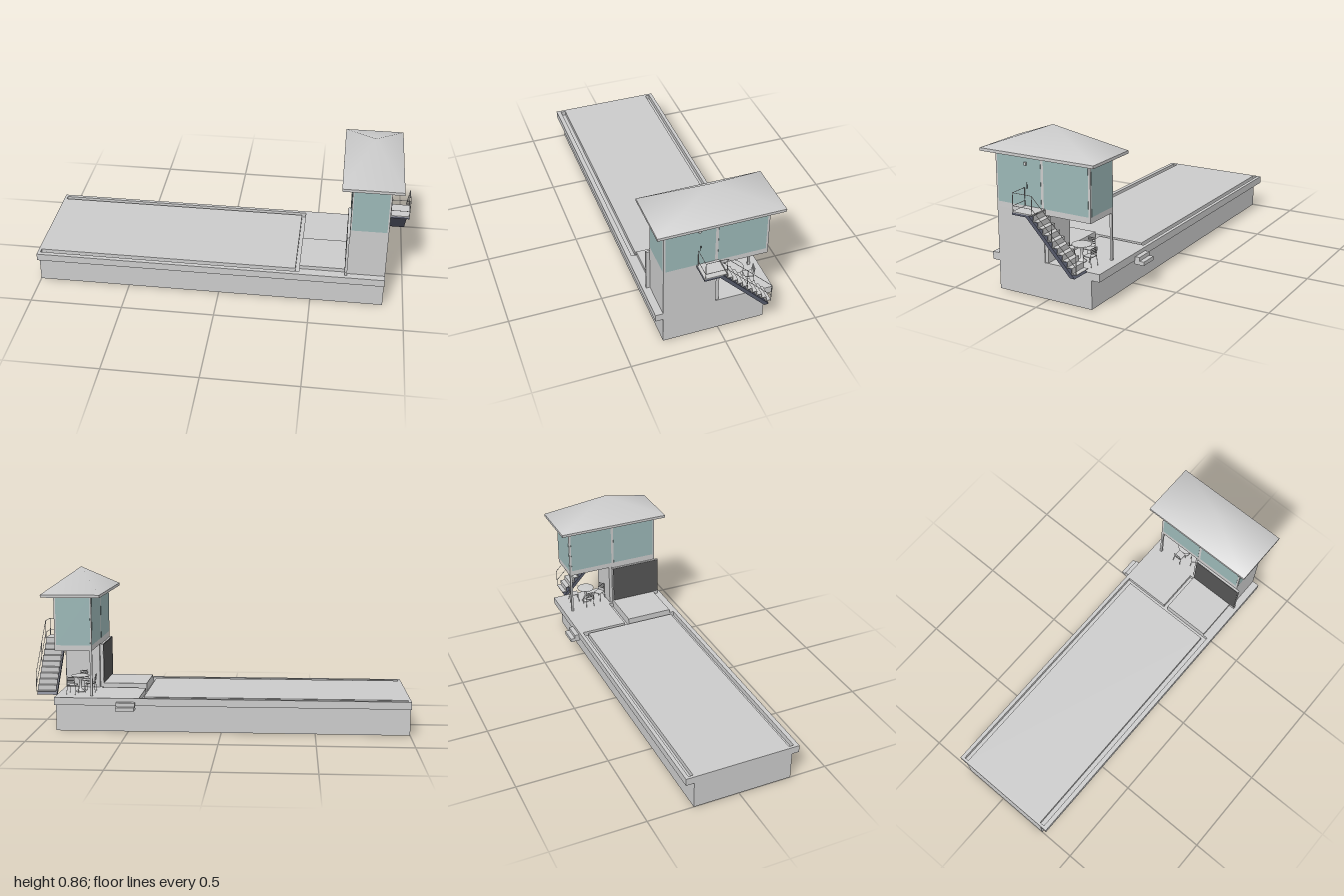
import * as THREE from 'three';

const grey = new THREE.MeshStandardMaterial({ color: 0xcccccc });
const glass = new THREE.MeshStandardMaterial({ color: 0x9bb7b6 });
const steel = new THREE.MeshStandardMaterial({ color: 0x555969 });
const dark = new THREE.MeshStandardMaterial({ color: 0x555555 });

function add(parent, name, geometry, material = grey) {
  const mesh = new THREE.Mesh(geometry, material);
  mesh.name = name;
  parent.add(mesh);
  return mesh;
}

// Box given by its limits on each axis
function box(parent, name, [x0, x1], [y0, y1], [z0, z1], material) {
  const mesh = add(parent, name, new THREE.BoxGeometry(x1 - x0, y1 - y0, z1 - z0), material);
  mesh.position.set((x0 + x1) / 2, (y0 + y1) / 2, (z0 + z1) / 2);
  return mesh;
}

// Thin round bar between two points
function rod(parent, name, a, b, r = 0.0015, material = grey) {
  const p = new THREE.Vector3(...a), q = new THREE.Vector3(...b);
  const mesh = add(parent, name, new THREE.CylinderGeometry(r, r, p.distanceTo(q), 8), material);
  mesh.position.copy(p).lerp(q, 0.5);
  mesh.quaternion.setFromUnitVectors(new THREE.Vector3(0, 1, 0), q.sub(p).normalize());
  return mesh;
}

function group(parent, name) {
  const g = new THREE.Group();
  g.name = name;
  parent.add(g);
  return g;
}

function buildBase(root) {
  const base = group(root, 'poolBase');
  // Solid pool body, and an open-bottomed room under the tower
  box(base, 'poolBody', [-1, 0.43], [0, 0.15], [-0.25, 0.295]);
  box(base, 'roomBackWall', [0.43, 0.89], [0, 0.15], [-0.25, -0.238]);
  box(base, 'roomFrontWall', [0.43, 0.89], [0, 0.15], [0.283, 0.295]);
  box(base, 'roomEndWall', [0.878, 0.89], [0, 0.15], [-0.238, 0.283]);
  box(base, 'deckUnderside', [-1, 0.89], [0.15, 0.163], [-0.295, 0.335]);

  // Deck with the overflow gutter cut into it
  const deck = new THREE.Shape([[-1, -0.295], [0.89, -0.295], [0.89, 0.335], [-1, 0.335]]
    .map(p => new THREE.Vector2(...p)));
  deck.holes.push(new THREE.Path([
    [-0.985, -0.275], [0.435, -0.275], [0.435, -0.01], [0.68, -0.01], [0.68, 0.016], [0.435, 0.016],
    [0.435, 0.31], [-0.985, 0.31], [-0.985, 0.283], [0.414, 0.283], [0.414, -0.25], [-0.985, -0.25],
  ].map(p => new THREE.Vector2(...p))));
  const geometry = new THREE.ExtrudeGeometry(deck, { depth: 0.027, bevelEnabled: false });
  geometry.rotateX(Math.PI / 2);
  add(base, 'deck', geometry).position.y = 0.19;

  box(base, 'raisedPlatform', [0.435, 0.69], [0.185, 0.21], [0.016, 0.283]);
  box(base, 'upperEntryStep', [0.455, 0.555], [0.13, 0.17], [-0.32, -0.29]);
  box(base, 'lowerEntryStep', [0.455, 0.555], [0.13, 0.15], [-0.345, -0.32]);
}

function buildTower(root) {
  const tower = group(root, 'tower');
  box(tower, 'lowerRoom', [0.69, 0.89], [0.19, 0.435], [0.018, 0.295]);
  box(tower, 'wallEnd', [0.695, 0.885], [0.19, 0.435], [0, 0.018]);
  box(tower, 'upperRoom', [0.69, 0.89], [0.435, 0.725], [-0.25, 0.295]);
  box(tower, 'cornerPost', [0.69, 0.702], [0.19, 0.435], [-0.25, -0.238]);
  box(tower, 'sidePanel', [0.678, 0.69], [0.19, 0.43], [0.018, 0.315]);
  box(tower, 'sidePanelFace', [0.676, 0.678], [0.21, 0.428], [0.02, 0.313], dark);

  // Windows on all four sides
  const e = 0.001;
  for (const [z0, z1] of [[-0.238, 0.015], [0.03, 0.285]]) {
    box(tower, 'sideWindow', [0.69 - e, 0.89 + e], [0.465, 0.725], [z0, z1], glass);
  }
  box(tower, 'endWindows', [0.697, 0.881], [0.465, 0.725], [-0.25 - e, 0.295 + e], glass);

  // Wall lamp and door handle
  box(tower, 'wallLamp', [0.89, 0.9], [0.67, 0.686], [0.11, 0.121]);
  rod(tower, 'doorHandle', [0.896, 0.555, 0.108], [0.896, 0.585, 0.108], 0.002, dark);

  // Softly shaded pyramid roof on a thin eave slab
  const [x0, x1, z0, z1, y] = [0.635, 0.948, -0.305, 0.345, 0.74];
  box(tower, 'eaves', [x0, x1], [0.725, y], [z0, z1]);
  const roof = new THREE.BufferGeometry();
  roof.setAttribute('position', new THREE.Float32BufferAttribute(
    [x0, y, z1, x1, y, z1, x1, y, z0, x0, y, z0, (x0 + x1) / 2, 0.863, (z0 + z1) / 2], 3));
  roof.setIndex([0, 1, 4, 1, 2, 4, 2, 3, 4, 3, 0, 4]);
  roof.computeVertexNormals();
  add(tower, 'roof', roof);
}

function buildStairs(root) {
  const stairs = group(root, 'stairs');
  // Landing and sloping carriage, profile drawn as (z, y)
  const profile = new THREE.Shape([[0.125, 0.45], [0.045, 0.45], [-0.2, 0.19], [-0.226, 0.19],
    [0.03, 0.461], [0.125, 0.461]].map(([z, y]) => new THREE.Vector2(-z, y)));
  const carriage = new THREE.ExtrudeGeometry(profile, { depth: 0.108, bevelEnabled: false });
  carriage.rotateY(Math.PI / 2);
  add(stairs, 'carriage', carriage, steel).position.x = 0.89;
  box(stairs, 'landing', [0.89, 0.998], [0.461, 0.466], [0.01, 0.125]);

  // Treads and risers
  const X = [0.895, 0.995], n = 9, run = 0.0268, rise = 0.0278;
  for (let i = 0; i < n; i++) {
    const z = 0.005 - i * run, y = 0.435 - i * rise;
    box(stairs, 'tread', X, [y - 0.003, y], [z - run, z]);
    box(stairs, 'riser', X, [y - 0.003, y + rise], [z - 0.002, z + 0.001]);
  }

  // Railing along the outer side, with a return at the landing end
  const x = 0.997;
  for (const [z, y0, y1] of [[0.12, 0.461, 0.56], [0.01, 0.461, 0.56], [-0.1, 0.35, 0.448], [-0.234, 0.21, 0.311]]) {
    rod(stairs, 'railPost', [x, y0, z], [x, y1, z], 0.002);
  }
  for (const y of [0.56, 0.495]) {
    rod(stairs, 'endRail', [0.9, y, 0.12], [x, y, 0.12]);
    rod(stairs, 'landingRail', [x, y, 0.12], [x, y, 0.01]);
    rod(stairs, 'slopingRail', [x, y, 0.01], [x, y - 0.249, -0.234]);
  }
  rod(stairs, 'endRailPost', [0.9, 0.461, 0.12], [0.9, 0.56, 0.12], 0.002);
}

// Slatted chair facing +z in its own frame
function buildChair(root, x, z, angle) {
  const chair = group(root, 'chair');
  chair.position.set(x, 0.19, z);
  chair.rotation.y = angle;
  box(chair, 'seat', [-0.023, 0.023], [0.047, 0.051], [-0.023, 0.025]);
  for (const s of [-1, 1]) {
    rod(chair, 'frontLeg', [s * 0.024, 0, 0.028], [s * 0.022, 0.048, 0.022]);
    rod(chair, 'backLeg', [s * 0.024, 0, -0.028], [s * 0.022, 0.048, -0.022]);
    rod(chair, 'backUpright', [s * 0.022, 0.048, -0.022], [s * 0.02, 0.097, -0.029]);
  }
  for (let i = 0; i < 4; i++) {
    const y = 0.066 + i * 0.009, zc = -0.024 - i * 0.0014;
    box(chair, 'backSlat', [-0.02, 0.02], [y, y + 0.005], [zc - 0.001, zc + 0.001]);
  }
}

function buildFurniture(root) {
  const set = group(root, 'terraceFurniture');
  const table = add(set, 'table', new THREE.LatheGeometry([
    [0, 0], [0.025, 0], [0.022, 0.004], [0.009, 0.015], [0.006, 0.04], [0.009, 0.065],
    [0.02, 0.08], [0.02, 0.086], [0.049, 0.086], [0.049, 0.09], [0, 0.09],
  ].map(p => new THREE.Vector2(...p)), 24));
  table.position.set(0.78, 0.19, -0.125);
  buildChair(set, 0.765, -0.042, Math.PI + 0.6);
  buildChair(set, 0.81, -0.192, -0.15);
  buildChair(set, 0.722, -0.128, Math.PI / 2);
}

export function createModel() {
  const root = new THREE.Group();
  root.name = 'poolWithTower';
  buildBase(root);
  buildTower(root);
  buildStairs(root);
  buildFurniture(root);
  return root;
}
